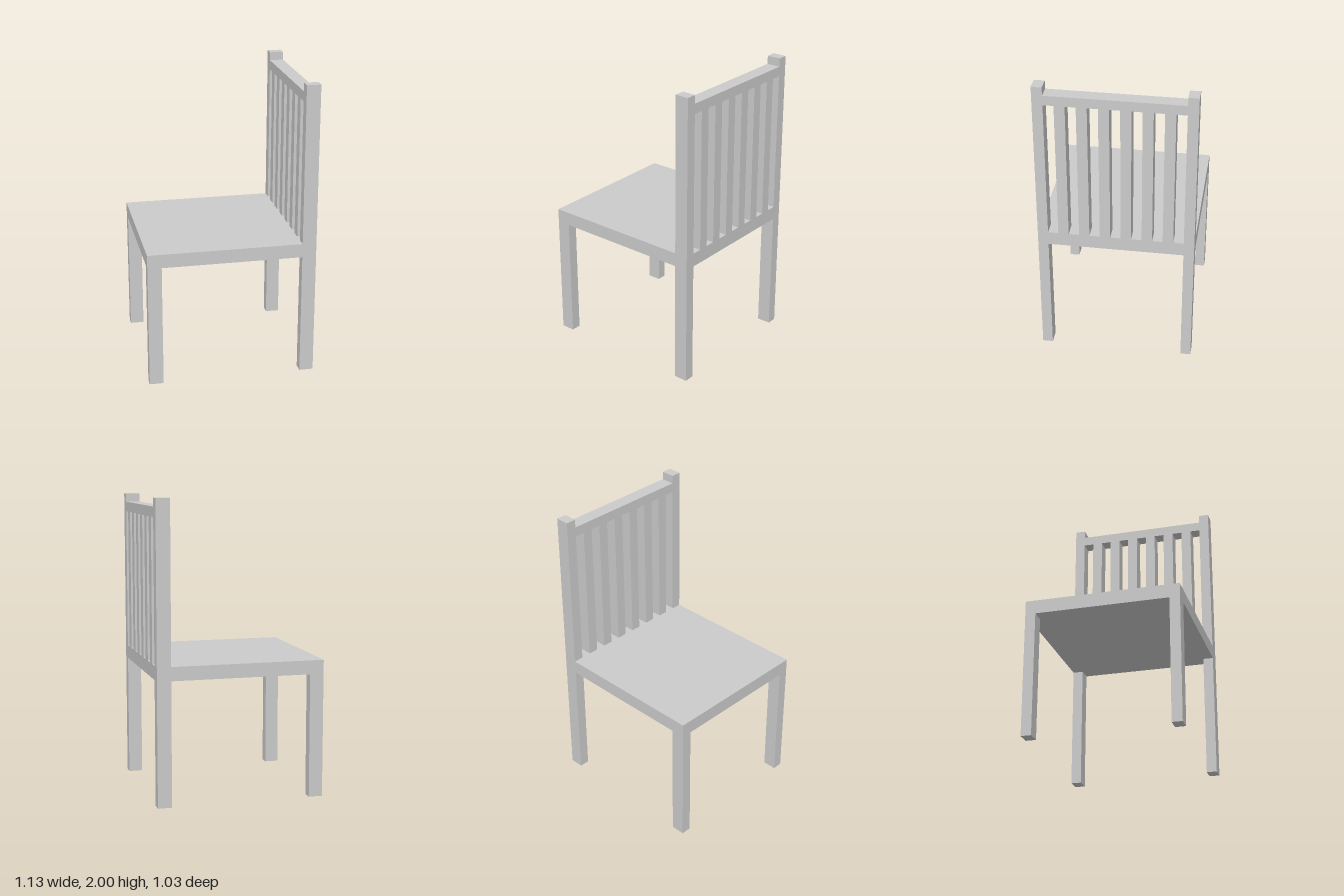
import * as THREE from 'three';

const material = new THREE.MeshStandardMaterial({ color: 0xcccccc, flatShading: true });

// Box given by its extents along each axis
function addBox(parent, name, [x0, x1], [y0, y1], [z0, z1]) {
  const mesh = new THREE.Mesh(new THREE.BoxGeometry(x1 - x0, y1 - y0, z1 - z0), material);
  mesh.position.set((x0 + x1) / 2, (y0 + y1) / 2, (z0 + z1) / 2);
  mesh.name = name;
  parent.add(mesh);
}

export function createModel() {
  const chair = new THREE.Group();
  chair.name = 'chair';

  const outX = 0.564, inX = 0.47;      // seat edge and inner face of the legs
  const outZ = 0.517, inZ = 0.448;     // outer and inner sides of the legs
  const seatBottom = 0.835, seatTop = 0.928;
  const railBottom = 1.878, railTop = 1.944;
  const backX = [inX, outX];

  // Seat slab, and its rear strip between the back posts
  addBox(chair, 'seat', [-outX, inX], [seatBottom, seatTop], [-outZ, outZ]);
  addBox(chair, 'seatRearRail', backX, [seatBottom, seatTop], [-inZ, inZ]);

  // Short legs at the seat's open end, full-height posts at the backrest
  for (const [side, z] of [['Left', [inZ, outZ]], ['Right', [-outZ, -inZ]]]) {
    addBox(chair, 'frontLeg' + side, [-outX, -inX], [0, seatBottom], z);
    addBox(chair, 'backPost' + side, backX, [0, 2], z);
  }

  // Backrest: top rail and six slats, with gaps as wide as the slats
  const backrest = new THREE.Group();
  backrest.name = 'backrest';
  chair.add(backrest);
  addBox(backrest, 'topRail', backX, [railBottom, railTop], [-inZ, inZ]);
  const slats = 6, step = (2 * inZ) / (2 * slats + 1);
  for (let i = 0; i < slats; i++) {
    const z = -inZ + (2 * i + 1) * step;
    addBox(backrest, 'slat' + (i + 1), backX, [seatTop, railBottom], [z, z + step]);
  }
  return chair;
}
